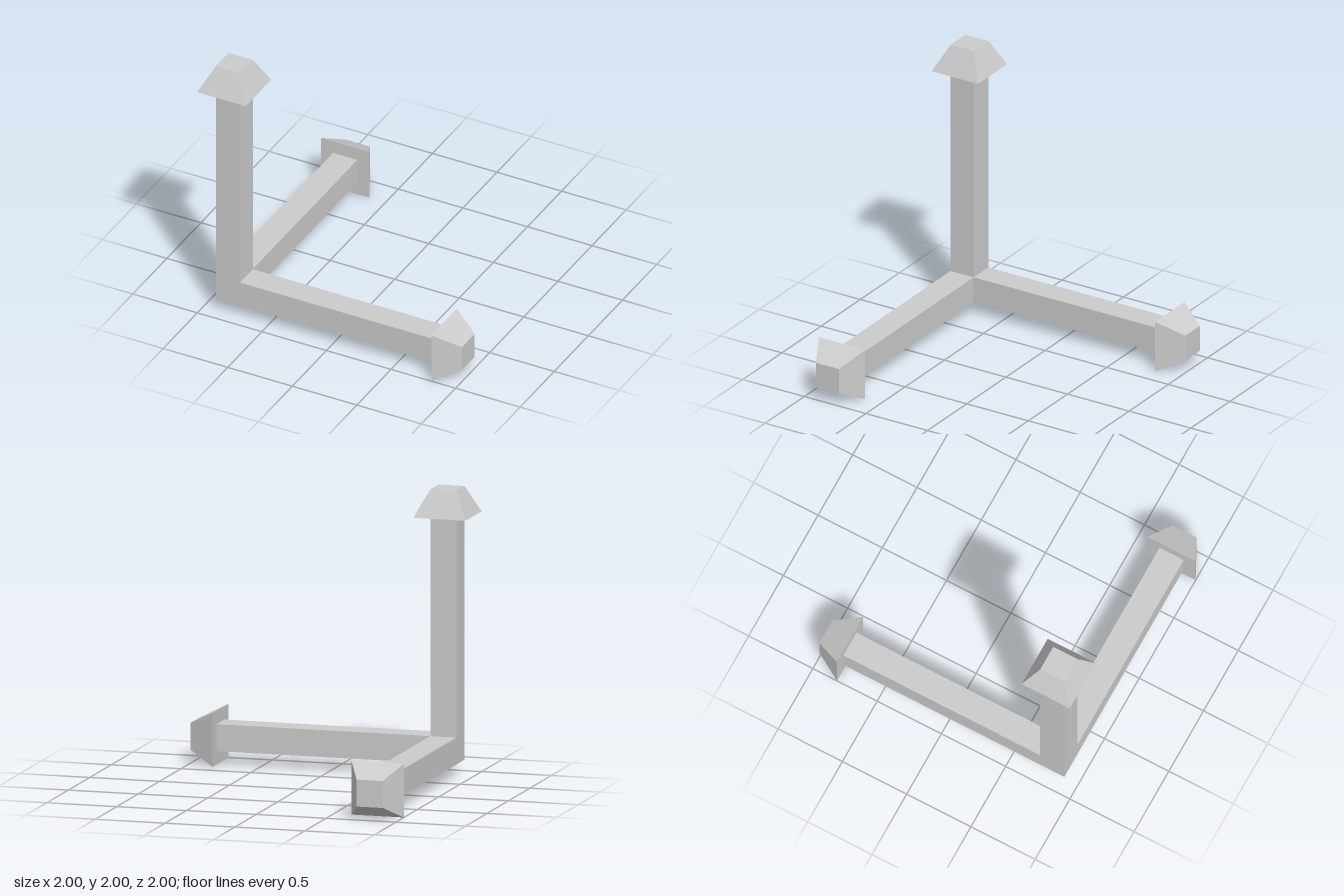
import * as THREE from 'three';

const C = 0.8125;      // distance of the corner from the centre
const W = 0.1875;      // bar thickness
const REACH = 1.625;   // corner centre to the base of each arrowhead

export function createModel() {
  const model = new THREE.Group();
  model.name = 'axisArrows';
  const grey = new THREE.MeshStandardMaterial({ color: 0xcccccc });
  grey.name = 'light grey';

  // Square bar starting at the face of the corner block
  const barLength = REACH - W / 2;
  const barGeo = new THREE.BoxGeometry(W, barLength, W);
  barGeo.translate(0, W / 2 + barLength / 2, 0);

  // Four-sided tapered arrowhead with flat faces
  const tapered = new THREE.CylinderGeometry(W / Math.SQRT2, W * Math.SQRT2, W, 4);
  tapered.rotateY(Math.PI / 4);
  tapered.translate(0, REACH + W / 2, 0);
  const headGeo = tapered.toNonIndexed();
  headGeo.computeVertexNormals();

  // Shared corner block
  const corner = new THREE.Mesh(new THREE.BoxGeometry(W, W, W), grey);
  corner.name = 'cornerBlock';
  model.add(corner);

  // Three arms: up, towards +x and towards -z
  const arms = [
    ['upArm', 0, 0],
    ['sideArm', 0, -Math.PI / 2],
    ['backArm', -Math.PI / 2, 0],
  ];
  for (const [name, rx, rz] of arms) {
    const arm = new THREE.Group();
    arm.name = name;
    const bar = new THREE.Mesh(barGeo, grey);
    bar.name = 'bar';
    const head = new THREE.Mesh(headGeo, grey);
    head.name = 'arrowhead';
    arm.add(bar, head);
    arm.rotation.set(rx, 0, rz);
    model.add(arm);
  }

  model.position.set(-C, W, C);
  const root = new THREE.Group();
  root.name = 'model';
  root.add(model);
  return root;
}
